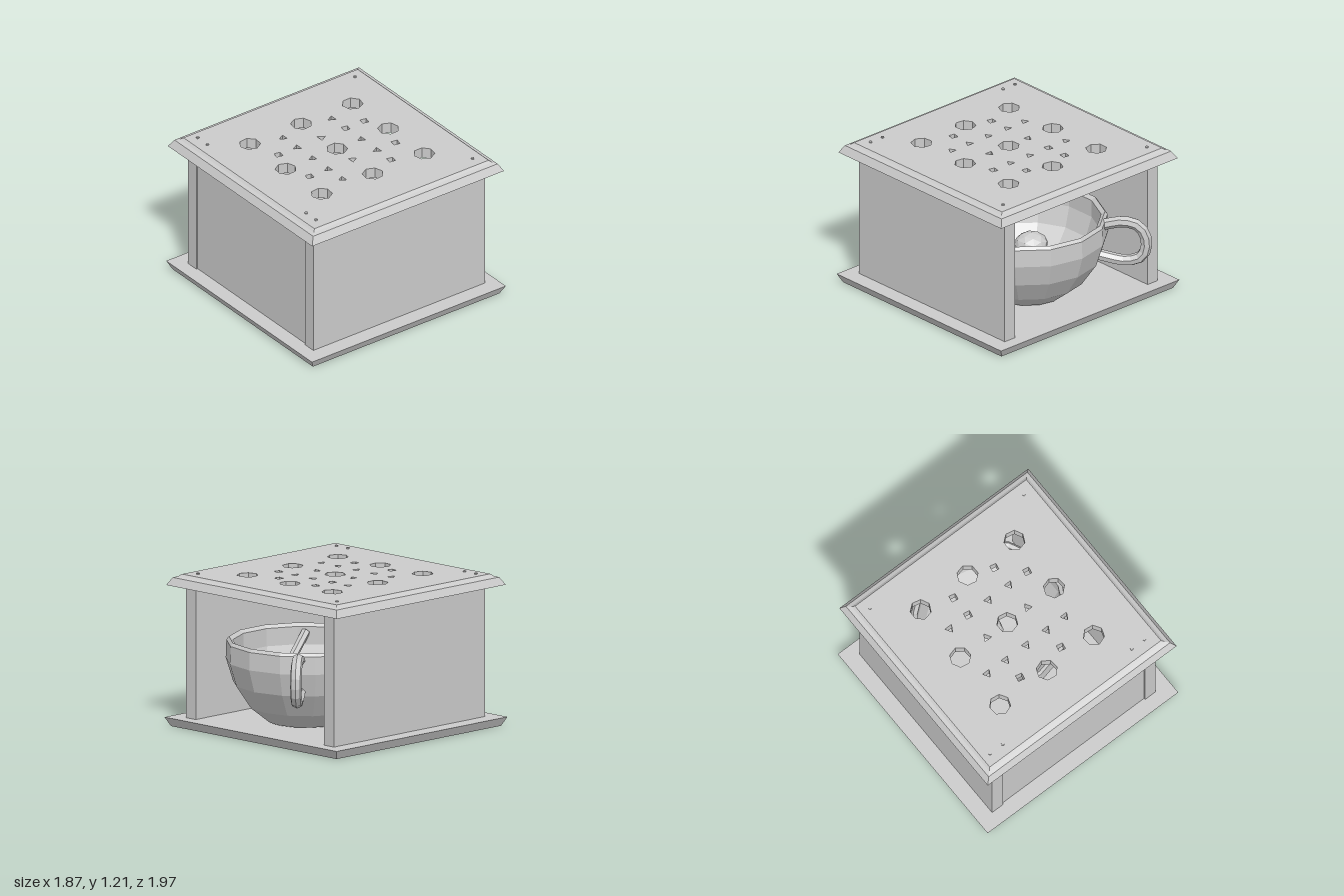
import * as THREE from 'three';

const mat = new THREE.MeshStandardMaterial({ color: 0xcccccc, flatShading: true });
const smooth = new THREE.MeshStandardMaterial({ color: 0xcccccc });
const CZ = 0.065; // centre of the box along z
const v2 = (p) => p.map(([x, y]) => new THREE.Vector2(x, y));

function add(parent, name, geo, x = 0, y = 0, z = 0, m = mat) {
  const mesh = new THREE.Mesh(geo, m);
  mesh.name = name;
  mesh.position.set(x, y, z);
  parent.add(mesh);
  return mesh;
}

// Square slab or ring: [half width, height] profile swept around four sides
function squareSweep(profile) {
  const pts = v2(profile.map(([h, y]) => [h * Math.SQRT2, y]));
  return new THREE.LatheGeometry(pts, 4, Math.PI / 4);
}

function polygonHole(x, z, r, sides, turn) {
  const path = new THREE.Path();
  path.setFromPoints(Array.from({ length: sides }, (_, i) => {
    const a = turn + (i / sides) * Math.PI * 2;
    return new THREE.Vector2(x + r * Math.cos(a), -(z - CZ) + r * Math.sin(a));
  }));
  return path;
}

function createLid() {
  const lid = new THREE.Group();
  lid.name = 'lid';
  add(lid, 'lidRim', squareSweep([[0.84, 1.11], [0.926, 1.11], [0.89, 1.17], [0.86, 1.18], [0.84, 1.196]]), 0, 0, CZ);

  // Perforated plate
  const h = 0.84;
  const plate = new THREE.Shape(v2([[-h, -h], [h, -h], [h, h], [-h, h]]));
  for (const x of [-0.46, 0, 0.46])
    for (const z of [-0.44, 0.055, 0.55]) plate.holes.push(polygonHole(x, z, 0.083, 7, x + z));
  const rows = [
    [-0.36, [-0.2, 0.2]],
    [-0.18, [-0.38, -0.2, 0, 0.2, 0.38]],
    [0.055, [-0.2, 0.2]],
    [0.29, [-0.38, -0.2, 0, 0.2, 0.38]],
    [0.47, [-0.2, 0.2]],
  ];
  rows.forEach(([z, xs], r) => xs.forEach((x, i) => {
    const square = r === 0 || r === 4 || (r === 1 && (i === 1 || i === 4));
    plate.holes.push(polygonHole(x, z, 0.037, square ? 4 : 3, square ? 0.6 : Math.PI / 2 + r * Math.PI / 3));
  }));
  const geo = new THREE.ExtrudeGeometry(plate, { depth: 0.086, bevelEnabled: false });
  geo.rotateX(-Math.PI / 2);
  add(lid, 'lidPlate', geo, 0, 1.11, CZ);

  // Nail heads
  const nails = [[-0.76, -0.69], [0.75, -0.69], [-0.77, 0.82], [-0.645, 0.82], [0.62, 0.82], [0.745, 0.82]];
  for (const [x, z] of nails) add(lid, 'nail', new THREE.CylinderGeometry(0.012, 0.012, 0.02, 8), x, 1.196, z);
  return lid;
}

function createCup() {
  const cup = new THREE.Group();
  cup.name = 'cup';
  cup.position.set(0.05, 0, -0.21);

  // Faceted bowl, outside then inside
  const profile = [[0, 0.08], [0.3, 0.08], [0.45, 0.2], [0.57, 0.38], [0.625, 0.56], [0.62, 0.7],
    [0.6, 0.725], [0.57, 0.7], [0.57, 0.56], [0.52, 0.4], [0.4, 0.26], [0, 0.24]];
  add(cup, 'bowl', new THREE.LatheGeometry(v2(profile), 14));

  // Loop handle pointing out of the open back
  const dir = new THREE.Vector2(-0.64, -0.77);
  const path = [[0.59, 0.67], [0.75, 0.705], [0.87, 0.67], [0.925, 0.55], [0.89, 0.42], [0.77, 0.375], [0.55, 0.41]];
  const curve = new THREE.CatmullRomCurve3(path.map(([d, y]) => new THREE.Vector3(dir.x * d, y, dir.y * d)));
  add(cup, 'handle', new THREE.TubeGeometry(curve, 14, 0.045, 7));

  // Lump and stick lying in the bowl
  const lump = add(cup, 'lump', new THREE.IcosahedronGeometry(0.13, 1), -0.05, 0.45, 0.01);
  lump.scale.y = 0.7;
  add(cup, 'lumpStem', new THREE.CylinderGeometry(0.06, 0.08, 0.2, 8), -0.05, 0.33, 0.01);
  const stick = new THREE.LineCurve3(new THREE.Vector3(0.34, 0.36, 0.08), new THREE.Vector3(0.4, 0.66, 0.4));
  add(cup, 'stick', new THREE.TubeGeometry(stick, 1, 0.035, 6));
  return cup;
}

export function createModel() {
  const model = new THREE.Group();
  model.name = 'boxWithCup';

  add(model, 'base', squareSweep([[0, 0], [0.9, 0], [0.935, 0.07], [0, 0.07]]), 0, 0, CZ);

  // Walls, open at the back
  const bottom = 0.07, height = 1.035, midY = bottom + height / 2;
  for (const s of [-1, 1]) add(model, 'sideWall', new THREE.BoxGeometry(0.105, height, 1.655), s * 0.75, midY, 0.06, smooth);
  add(model, 'frontWall', new THREE.BoxGeometry(1.395, height, 0.1), 0, midY, 0.825, smooth);

  model.add(createLid(), createCup());
  return model;
}
